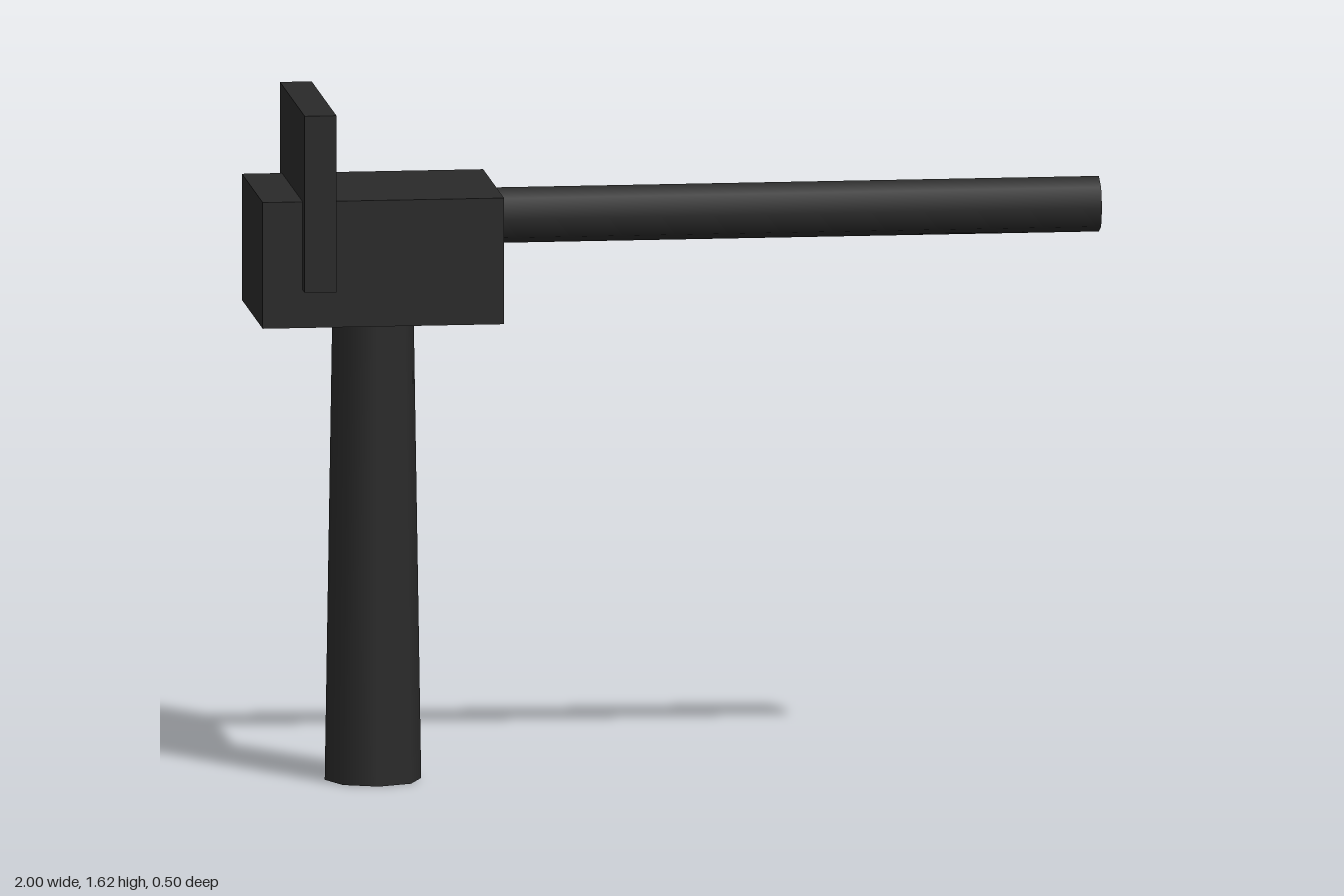
import * as THREE from 'three';

export function createModel() {
  const model = new THREE.Group();
  const darkMetal = new THREE.MeshStandardMaterial({ color: 0x2a2a2a });
  darkMetal.name = 'darkMetal';

  const add = (name, geometry, x, y, z = 0) => {
    const mesh = new THREE.Mesh(geometry, darkMetal);
    mesh.name = name;
    mesh.position.set(x, y, z);
    model.add(mesh);
    return mesh;
  };

  // Tapered eight-sided post, smooth around the side
  add('post', new THREE.CylinderGeometry(0.096, 0.114, 1.12, 8), -0.715, 0.56);

  // Block on top of the post
  add('body', new THREE.BoxGeometry(0.57, 0.3, 0.42), -0.715, 1.26);

  // Upright plate across the block, wider than it on both sides
  add('shield', new THREE.BoxGeometry(0.075, 0.42, 0.5), -0.868, 1.41);

  // Long rod reaching out to the left
  const barrel = add('barrel', new THREE.CylinderGeometry(0.066, 0.066, 1.44, 8), 0.28, 1.335);
  barrel.rotation.z = -Math.PI / 2;

  return model;
}
